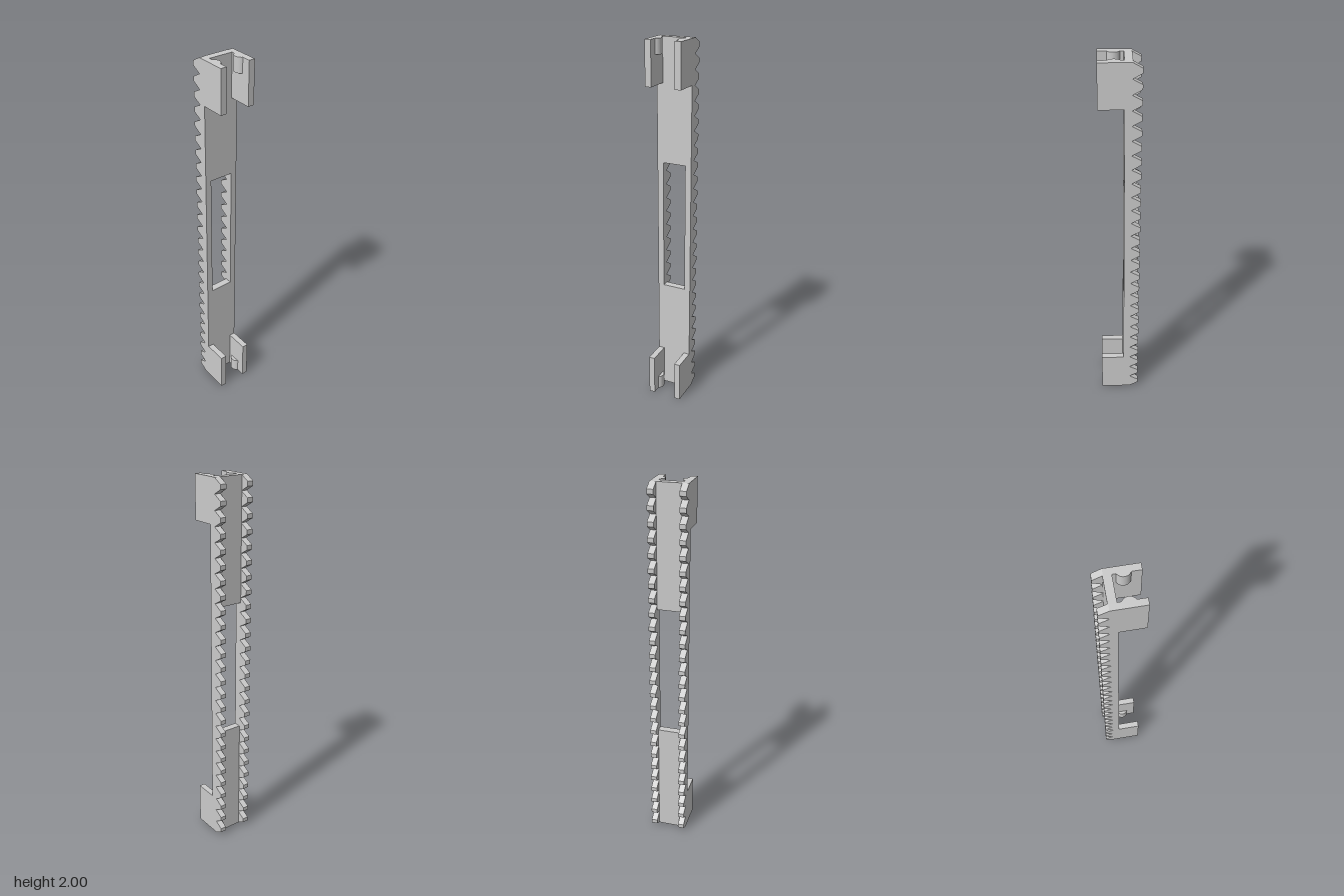
import * as THREE from 'three';

const INNER = 0.063, OUTER = 0.096;
const FRONT = -0.021, ROOT = -0.057, TIP = -0.105, CLIP_FRONT = 0.105;
const TEETH = 26, PITCH = 2 / TEETH;

export function createModel() {
  const group = new THREE.Group();
  const material = new THREE.MeshStandardMaterial({ color: 0xcccccc });
  const add = (name, geometry) => {
    const mesh = new THREE.Mesh(geometry, material);
    mesh.name = name;
    group.add(mesh);
  };

  // Side profile (z, y): toothed back edge, clip arms at both ends of the front
  const profile = new THREE.Shape();
  profile.moveTo(ROOT, 0);
  profile.lineTo(CLIP_FRONT, 0);
  profile.lineTo(CLIP_FRONT, 0.23);
  profile.lineTo(FRONT, 0.23);
  profile.lineTo(FRONT, 1.775);
  profile.lineTo(CLIP_FRONT, 1.775);
  profile.lineTo(CLIP_FRONT, 2);
  for (let i = TEETH; i > 0; i--) {
    const y = i * PITCH;
    profile.lineTo(ROOT, y);
    profile.lineTo(TIP, y - PITCH * 0.35);
    profile.lineTo(TIP, y - PITCH * 0.65);
  }
  profile.closePath();

  // Toothed rails, one on each side
  for (const [name, x] of [['leftRail', OUTER], ['rightRail', -INNER]]) {
    const rail = new THREE.ExtrudeGeometry(profile, { depth: OUTER - INNER, bevelEnabled: false });
    rail.rotateY(-Math.PI / 2).translate(x, 0, 0);
    add(name, rail);
  }

  // Web plates joining the rails above and below the window
  for (const [name, y0, y1] of [['lowerWeb', 0, 0.645], ['upperWeb', 1.36, 2]]) {
    const web = new THREE.BoxGeometry(INNER * 2, y1 - y0, 0.039);
    web.translate(0, (y0 + y1) / 2, FRONT - 0.0195);
    add(name, web);
  }

  // Rounded snap bumps inside the clip arms
  const radius = 0.035, centreX = 0.079, centreZ = 0.028;
  const half = Math.acos((centreX - INNER) / radius);
  for (const [side, s] of [['left', 1], ['right', -1]]) {
    const middle = s > 0 ? Math.PI : 0;
    const segment = new THREE.Shape();
    segment.absarc(s * centreX, centreZ, radius, middle - half, middle + half, false);
    segment.closePath();
    for (const [end, top, height] of [['Lower', 0.077, 0.077], ['Upper', 2, 0.077]]) {
      const bump = new THREE.ExtrudeGeometry(segment, { depth: height, bevelEnabled: false, curveSegments: 20 });
      bump.rotateX(Math.PI / 2).translate(0, top, 0);
      add(side + end + 'Bump', bump);
    }
  }
  return group;
}
